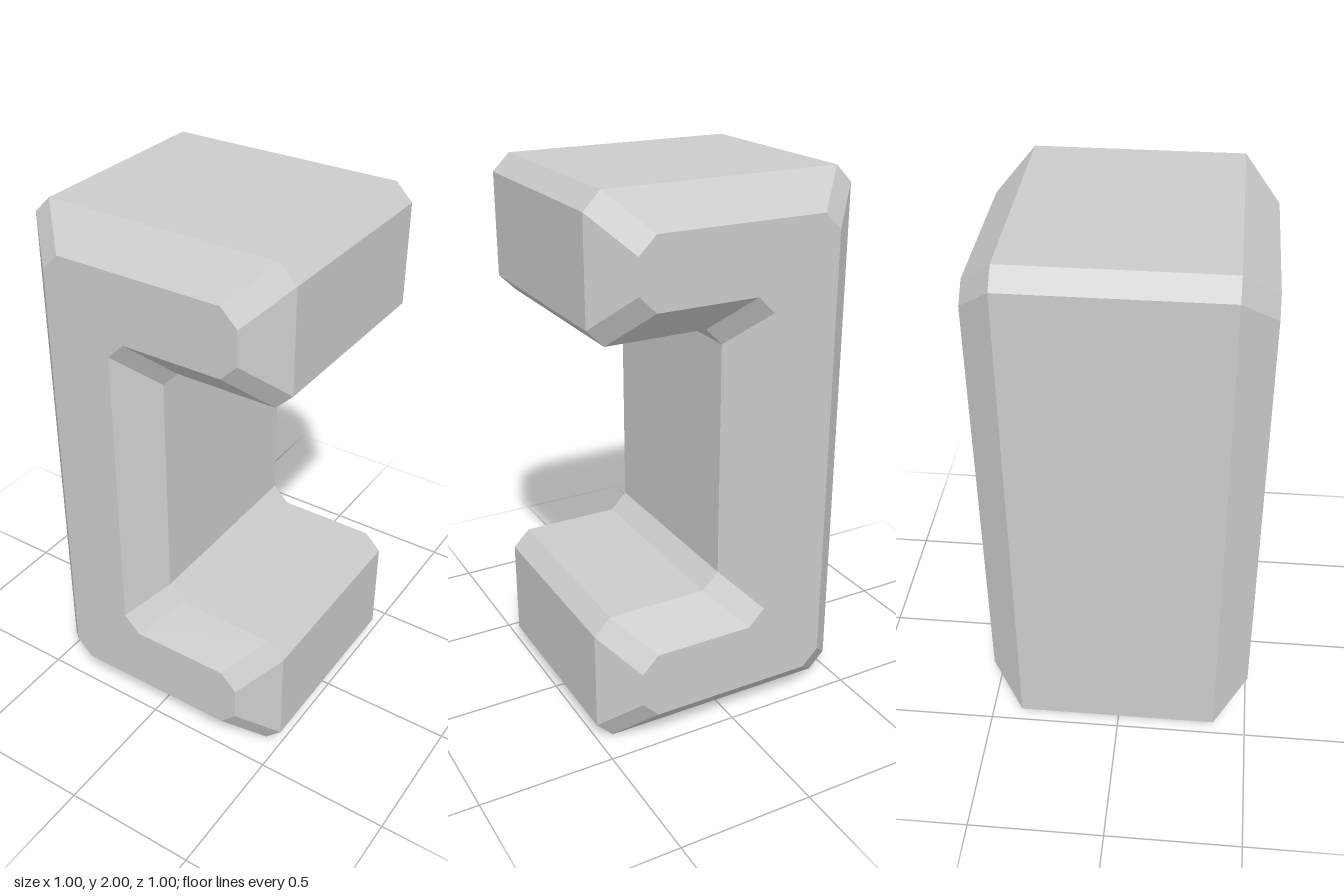
import * as THREE from 'three';

// Corners of the bracket's C profile, counter-clockwise seen from the front
const CORNERS = [[-0.5, 0], [0.5, 0], [0.5, 0.5], [0, 0.5], [0, 1.5], [0.5, 1.5], [0.5, 2], [-0.5, 2]]
  .map(([x, y]) => new THREE.Vector2(x, y));
const CUT = 0.0625;
const BEVEL = 0.125;

// The profile moved inward by inset, with every corner cut off
function profile(inset) {
  const n = CORNERS.length;
  return CORNERS.flatMap((corner, i) => {
    const before = corner.clone().sub(CORNERS[(i + n - 1) % n]).normalize();
    const after = CORNERS[(i + 1) % n].clone().sub(corner).normalize();
    const p = corner.clone();
    for (const d of [before, after]) p.add(new THREE.Vector2(-d.y, d.x).multiplyScalar(inset));
    return [p.clone().addScaledVector(before, -CUT), p.clone().addScaledVector(after, CUT)];
  });
}

function bracketGeometry() {
  const outer = profile(0);
  const inner = profile(BEVEL);
  const n = outer.length;
  const rings = [[inner, -0.5], [outer, -0.375], [outer, 0.375], [inner, 0.5]]
    .map(([points, z]) => points.map((p) => [p.x, p.y, z]));
  const positions = [];
  const triangle = (a, b, c) => positions.push(...a, ...b, ...c);

  // Back bevel, straight walls and front bevel
  for (let k = 0; k < 3; k++) {
    for (let i = 0; i < n; i++) {
      const j = (i + 1) % n;
      triangle(rings[k][i], rings[k][j], rings[k + 1][j]);
      triangle(rings[k][i], rings[k + 1][j], rings[k + 1][i]);
    }
  }

  // Flat front and back faces
  for (const [a, b, c] of THREE.ShapeUtils.triangulateShape(inner, [])) {
    triangle(rings[3][a], rings[3][b], rings[3][c]);
    triangle(rings[0][a], rings[0][c], rings[0][b]);
  }

  const geometry = new THREE.BufferGeometry();
  geometry.setAttribute('position', new THREE.Float32BufferAttribute(positions, 3));
  geometry.computeVertexNormals();
  return geometry;
}

export function createModel() {
  const group = new THREE.Group();
  const material = new THREE.MeshStandardMaterial({ color: 0xcccccc, flatShading: true });
  const bracket = new THREE.Mesh(bracketGeometry(), material);
  bracket.name = 'bracket';
  group.add(bracket);
  return group;
}
